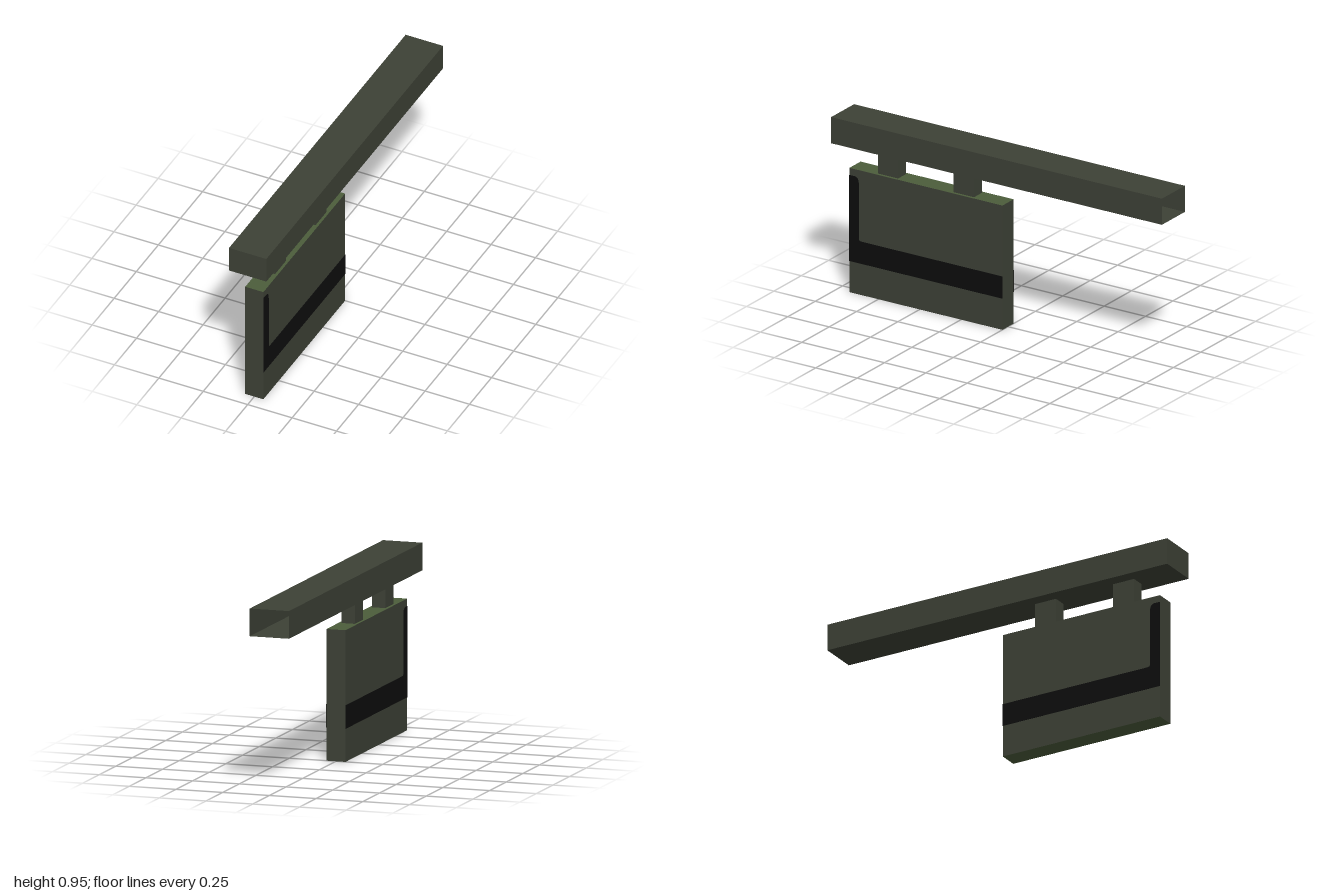
import * as THREE from 'three';

export function createModel() {
  const model = new THREE.Group();
  model.name = 'hangingSign';

  const olive = new THREE.MeshStandardMaterial({ color: 0x3d4136, side: THREE.DoubleSide });
  olive.name = 'olive';
  const green = new THREE.MeshStandardMaterial({ color: 0x4c5d3b });
  green.name = 'mossGreen';
  const black = new THREE.MeshStandardMaterial({ color: 0x0d0d0d });
  black.name = 'black';

  const add = (name, geometry, material, x, y, z) => {
    const mesh = new THREE.Mesh(geometry, material);
    mesh.name = name;
    mesh.position.set(x, y, z);
    model.add(mesh);
    return mesh;
  };

  // Hollow beam: four walls and a front cap, open at the back
  const beam = new THREE.BoxGeometry(0.21, 0.142, 2);
  beam.setIndex(Array.from(beam.index.array).slice(0, 30)); // drop the back face
  beam.clearGroups();
  add('beam', beam, olive, 0, 0.881, 0);

  // Two hangers between beam and panel
  for (const [name, z] of [['frontHanger', 0.702], ['backHanger', 0.243]]) {
    add(name, new THREE.BoxGeometry(0.072, 0.135, 0.123), olive, 0, 0.7425, z);
  }

  // Panel with green top and bottom edges
  const halfWidth = 0.051, length = 0.925, height = 0.675;
  add('panel', new THREE.BoxGeometry(halfWidth * 2, height, length),
    [olive, olive, green, green, olive, olive], 0, height / 2, length / 2);

  // L-shaped stripe on both sides, rounded at the top and the inner corner
  const stripe = new THREE.Shape();
  stripe.moveTo(0, 0.17);
  stripe.lineTo(length, 0.17);
  stripe.lineTo(length, 0.637);
  stripe.lineTo(0.895, 0.637);
  stripe.quadraticCurveTo(0.868, 0.637, 0.868, 0.6);
  stripe.lineTo(0.868, 0.305);
  stripe.quadraticCurveTo(0.868, 0.29, 0.853, 0.29);
  stripe.lineTo(0, 0.29);
  stripe.closePath();
  const depth = 0.002;
  const plate = new THREE.ExtrudeGeometry(stripe, { depth, bevelEnabled: false, curveSegments: 5 });
  plate.rotateY(-Math.PI / 2); // shape x runs along +z, thickness along -x
  add('leftStripe', plate, black, halfWidth + depth, 0, 0);
  add('rightStripe', plate, black, -halfWidth, 0, 0);

  return model;
}
